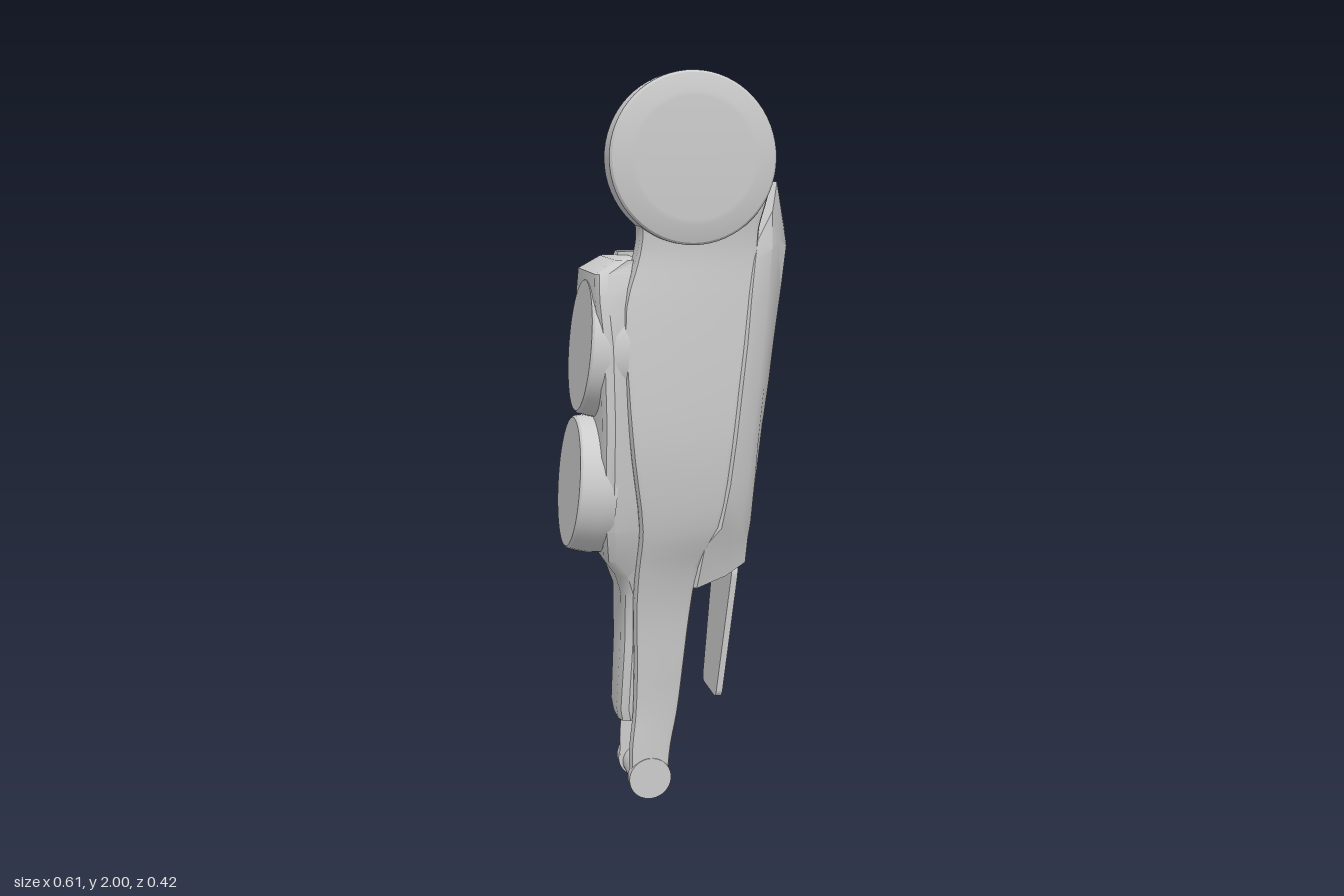
import * as THREE from 'three';
import { toCreasedNormals } from 'three/addons/utils/BufferGeometryUtils.js';

const grey = new THREE.MeshStandardMaterial({ color: 0xcccccc });
grey.name = 'light grey';

// Skin a stack of equal-sized rings (even point count), capped at both ends
function loft(rings, steps = 1) {
  if (steps > 1) {
    const columns = rings[0].map((_, i) =>
      new THREE.CatmullRomCurve3(rings.map(r => new THREE.Vector3(...r[i])))
        .getPoints((rings.length - 1) * steps).map(p => p.toArray()));
    rings = columns[0].map((_, j) => columns.map(c => c[j]));
  }
  const n = rings[0].length, last = (rings.length - 1) * n, index = [];
  const quad = (a, b, c, d) => index.push(a, b, c, a, c, d);
  for (let j = 0; j < last; j += n)
    for (let i = 0; i < n; i++) {
      const k = (i + 1) % n;
      quad(j + i, j + k, j + k + n, j + i + n);
    }
  for (let i = 0; i < n / 2 - 1; i++) {
    quad(i + 1, i, n - 1 - i, n - 2 - i);
    quad(last + i, last + i + 1, last + n - 2 - i, last + n - 1 - i);
  }
  // Turn the faces outward whichever way the rings run
  const pts = rings.flat().map(p => new THREE.Vector3(...p));
  let volume = 0;
  for (let t = 0; t < index.length; t += 3)
    volume += pts[index[t]].dot(pts[index[t + 1]].clone().cross(pts[index[t + 2]]));
  if (volume < 0) index.reverse();
  const g = new THREE.BufferGeometry().setFromPoints(pts);
  g.setIndex(index);
  return toCreasedNormals(g, 0.7);
}

// Slab section from zi to zo with rounded outer corners
const railRing = ([y, x0, x1, zi, zo], side, c = 0.02) => [
  [x0, y, zi], [x0, y, zo - c], [x0 + c * 0.3, y, zo - c * 0.3], [x0 + c, y, zo],
  [x1 - c, y, zo], [x1 - c * 0.3, y, zo - c * 0.3], [x1, y, zo - c], [x1, y, zi],
].map(([x, h, z]) => [x, h, z * side]);

// Symmetric section, rounded along its -x side and narrowing towards +x
const slabRing = ([y, x0, x1, z], taper, c = 0.03) => {
  const half = [[x1, y, z * taper], [x0 + c, y, z], [x0 + c * 0.3, y, z - c * 0.3], [x0, y, z - c]];
  return [...half.map(([x, h, w]) => [x, h, -w]), ...half.reverse()];
};

const lathePoints = list => list.map(p => new THREE.Vector2(...p));

export function createModel() {
  const model = new THREE.Group();
  const add = (name, geometry) => {
    const mesh = new THREE.Mesh(geometry, grey);
    mesh.name = name;
    model.add(mesh);
    return mesh;
  };

  // Side rails: wide at the body, slim legs below; the front one rises as a neck
  const rails = [
    [0.05, -0.135, -0.025, 0.068, 0.093], [0.15, -0.135, -0.015, 0.068, 0.092],
    [0.25, -0.125, 0.004, 0.07, 0.092], [0.4, -0.122, 0.02, 0.072, 0.102],
    [0.55, -0.126, 0.035, 0.075, 0.115], [0.68, -0.124, 0.052, 0.08, 0.142],
    [0.8, -0.12, 0.1, 0.09, 0.178], [1.0, -0.145, 0.128, 0.1, 0.199],
    [1.2, -0.16, 0.155, 0.1, 0.195], [1.4, -0.162, 0.185, 0.1, 0.181],
    [1.53, -0.125, 0.2, 0.1, 0.172],
  ];
  const neck = [
    [1.6, -0.118, 0.203, 0.108, 0.176], [1.66, -0.14, 0.218, 0.115, 0.182],
    [1.7, -0.16, 0.228, 0.125, 0.185],
  ];
  add('frontRail', loft([...rails, ...neck].map(r => railRing(r, 1)), 3));
  add('backRail', loft(rails.map(r => railRing(r, -1)), 3));

  // Foot: a bar with a round boss at the end of each rail
  for (const [name, radius, length, z] of [
    ['footBar', 0.0475, 0.16, 0], ['frontFoot', 0.06, 0.027, 0.0815], ['backFoot', 0.06, 0.027, -0.0815]]) {
    const foot = add(name, new THREE.CylinderGeometry(radius, radius, length, 40));
    foot.rotation.x = Math.PI / 2;
    foot.position.set(-0.08, radius, z);
  }

  // Body between the rails
  add('core', loft([
    [0.66, -0.115, 0.09, 0.1], [0.8, -0.11, 0.15, 0.14], [1.0, -0.13, 0.175, 0.16],
    [1.3, -0.145, 0.205, 0.16], [1.515, -0.11, 0.225, 0.15],
  ].map(r => slabRing(r, 0.72))));
  const ridge = add('topRidge', new THREE.BoxGeometry(0.04, 0.05, 0.27));
  ridge.position.set(0.02, 1.52, -0.03);

  // Curved cover on +x: a channel that ends in two horns
  // rows: flat face [x, y, z], corner [x, y, z], rim [x, y, z]
  const cover = [
    [[0.2, 0.69, 0.07], [0.188, 0.68, 0.108], [0.045, 0.62, 0.128]],
    [[0.207, 0.75, 0.072], [0.192, 0.75, 0.118], [0.06, 0.745, 0.16]],
    [[0.213, 0.8, 0.076], [0.198, 0.8, 0.125], [0.1, 0.8, 0.182]],
    [[0.226, 0.92, 0.078], [0.207, 0.92, 0.132], [0.12, 0.92, 0.197]],
    [[0.24, 1.05, 0.08], [0.216, 1.05, 0.135], [0.135, 1.05, 0.204]],
    [[0.258, 1.18, 0.08], [0.23, 1.18, 0.133], [0.15, 1.18, 0.201]],
    [[0.272, 1.3, 0.079], [0.242, 1.3, 0.13], [0.165, 1.3, 0.194]],
    [[0.29, 1.43, 0.076], [0.253, 1.43, 0.125], [0.178, 1.43, 0.184]],
    [[0.305, 1.55, 0.073], [0.268, 1.57, 0.118], [0.19, 1.52, 0.172]],
    [[0.3, 1.6, 0.068], [0.264, 1.72, 0.112], [0.2, 1.57, 0.158]],
  ];
  add('cover', loft(cover.map(([flat, corner, rim]) => {
    const mid = rim.map((v, i) => (v + corner[i]) / 2 + [0.012, 0, 0.008][i]);
    const half = [rim, mid, corner, flat];
    const flip = ([x, y, z]) => [x, y, -z];
    const outer = [...half.map(flip), ...half.slice().reverse()];
    const inner = outer.map(([x, y, z]) => [x - 0.022, y, z * 0.86]).reverse();
    return [...outer, ...inner];
  })));

  // Thin flap hanging under the cover
  const flapShape = new THREE.Shape();
  flapShape.moveTo(-0.09, 0.195);
  flapShape.lineTo(0.09, 0.195);
  flapShape.quadraticCurveTo(0.103, 0.195, 0.102, 0.17);
  flapShape.lineTo(0.078, -0.165);
  flapShape.quadraticCurveTo(0.077, -0.193, 0.055, -0.193);
  flapShape.lineTo(-0.055, -0.193);
  flapShape.quadraticCurveTo(-0.077, -0.193, -0.078, -0.165);
  flapShape.lineTo(-0.102, 0.17);
  flapShape.quadraticCurveTo(-0.103, 0.195, -0.09, 0.195);
  const flapGeometry = new THREE.ExtrudeGeometry(flapShape,
    { depth: 0.018, bevelEnabled: false, curveSegments: 6 });
  flapGeometry.translate(0, 0, -0.009).rotateY(Math.PI / 2);
  const flap = add('flap', flapGeometry);
  flap.position.set(0.142, 0.47, 0);
  flap.rotation.z = -0.1;

  // Long plate on -x that carries the two round pods
  add('backPlate', loft([
    [0.225, -0.16, -0.12, 0.066], [0.26, -0.166, -0.11, 0.07], [0.45, -0.156, -0.1, 0.08],
    [0.6, -0.155, -0.1, 0.09], [0.66, -0.175, -0.1, 0.115], [0.71, -0.21, -0.1, 0.14],
    [0.8, -0.22, -0.1, 0.17], [0.9, -0.225, -0.12, 0.19], [1.1, -0.222, -0.13, 0.197],
    [1.3, -0.225, -0.13, 0.192], [1.42, -0.235, -0.12, 0.18], [1.485, -0.232, -0.1, 0.16],
    [1.52, -0.175, -0.1, 0.135],
  ].map(r => slabRing(r, 0.85))));

  // Round pods, tilted slightly upward
  const pod = lathePoints([[0, -0.1], [0.19, -0.1], [0.192, -0.06], [0.188, -0.03],
    [0.183, -0.006], [0.177, 0], [0, 0]]);
  for (const [name, x, y] of [['upperPod', -0.252, 1.285], ['lowerPod', -0.287, 0.91]]) {
    const mesh = add(name, toCreasedNormals(new THREE.LatheGeometry(pod, 48), 0.5));
    mesh.rotation.z = Math.PI / 2 - 0.1;
    mesh.position.set(x, y, 0);
  }

  // Shoulder disc: chamfered front, dished back
  const disc = lathePoints([
    [0, 0.165], [0.045, 0.16], [0.065, 0.142], [0.095, 0.118], [0.14, 0.107], [0.185, 0.106],
    [0.212, 0.108], [0.22, 0.116], [0.22, 0.19], [0.214, 0.197], [0.168, 0.211], [0.155, 0.212], [0, 0.212],
  ]);
  const shoulder = add('shoulderDisc', toCreasedNormals(new THREE.LatheGeometry(disc, 64), 0.5));
  shoulder.rotation.x = Math.PI / 2;
  shoulder.position.set(0.018, 1.78, 0);

  return model;
}
